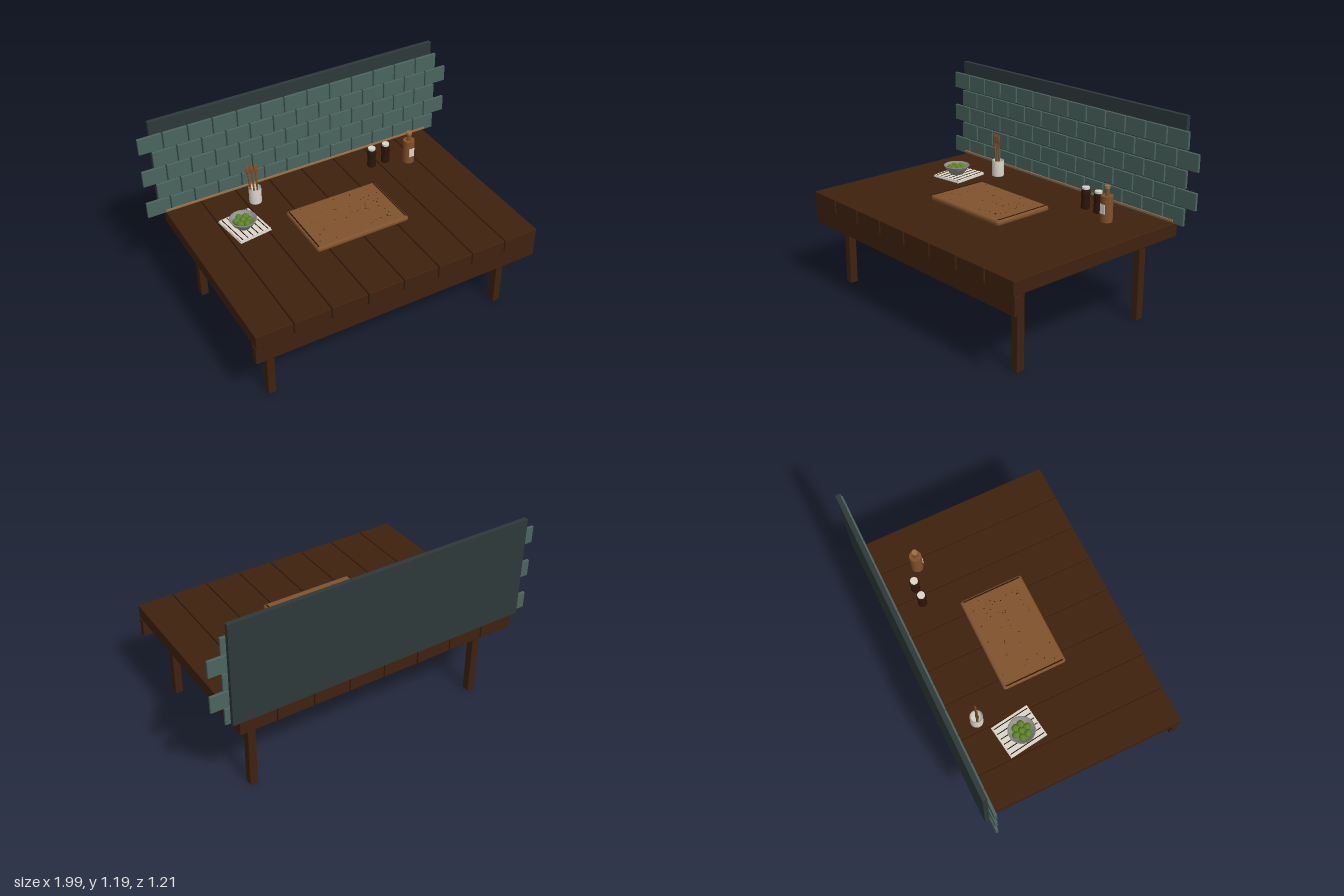
import * as THREE from 'three';
import { RoundedBoxGeometry } from 'three/addons/geometries/RoundedBoxGeometry.js';

const mat = (name, color, side = THREE.FrontSide) => {
  const m = new THREE.MeshStandardMaterial({ color, side });
  m.name = name;
  return m;
};

export function createModel() {
  const root = new THREE.Group();
  root.name = 'kitchenTable';

  const wood = mat('dark table wood', 0x3f210e);
  const boardWood = mat('board wood', 0x80522d);
  const tan = mat('light tan wood', 0xa06f42);
  const bottleBrown = mat('bottle brown', 0x80502a);
  const darkBrown = mat('deep brown', 0x2b1508);
  const tileGreen = mat('tile green', 0x4a645d);
  const slate = mat('slate panel', 0x2e393a);
  const white = mat('ceramic white', 0xd9d6ca, THREE.DoubleSide);
  const grey = mat('bowl grey', 0x8f8f8b, THREE.DoubleSide);
  const lime = mat('lime green', 0x5d8426);

  const add = (parent, name, geo, material, x, y, z) => {
    const mesh = new THREE.Mesh(geo, material);
    mesh.name = name;
    mesh.position.set(x, y, z);
    parent.add(mesh);
    return mesh;
  };
  const group = (name, x = 0, y = 0, z = 0) => {
    const g = new THREE.Group();
    g.name = name;
    g.position.set(x, y, z);
    root.add(g);
    return g;
  };
  const rbox = (w, h, d, r = 0.005) => new RoundedBoxGeometry(w, h, d, 2, r);
  const lathe = (pts, n = 24) =>
    new THREE.LatheGeometry(pts.map(([r, y]) => new THREE.Vector2(r, y)), n);
  const cyl = (r, h, n = 20, r2 = r) => new THREE.CylinderGeometry(r, r2, h, n);

  // Table: eight planks, front apron, four legs
  const table = group('table');
  const pitch = 1.75 / 8;
  for (let i = 0; i < 8; i++) {
    add(table, 'plank', rbox(pitch - 0.006, 0.083, 1.21), wood, -0.895 + pitch * (i + 0.5), 0.5415, 0);
  }
  add(table, 'frontApron', rbox(1.75, 0.11, 0.045), wood, -0.02, 0.447, 0.578);
  for (const x of [-0.763, 0.723]) {
    for (const z of [-0.454, 0.456]) {
      add(table, 'leg', rbox(0.046, 0.5, 0.05, 0.004), wood, x, 0.252, z);
    }
  }

  // Backsplash: panel, staggered tiles and a slim trim
  const splash = group('backsplash');
  add(splash, 'panel', new THREE.BoxGeometry(1.815, 0.608, 0.026), slate, -0.018, 0.886, -0.595);
  const tileGeo = rbox(0.141, 0.1, 0.016, 0.003);
  for (let row = 0; row < 5; row++) {
    for (let i = 0; i < 13; i++) {
      const x = -0.93 + i * 0.1482 + (row % 2) * 0.0745;
      add(splash, 'tile', tileGeo, tileGreen, x, 0.632 + row * 0.1073, -0.575);
    }
  }
  add(splash, 'trim', new THREE.BoxGeometry(1.75, 0.01, 0.008), tan, -0.02, 0.6, -0.559);

  // Cutting board with end grooves and grain flecks
  const board = group('cuttingBoard', -0.022, 0.6, -0.005);
  add(board, 'slab', rbox(0.583, 0.034, 0.387, 0.015), boardWood, 0, 0, 0);
  for (const x of [-0.278, 0.276]) {
    add(board, 'groove', new THREE.BoxGeometry(0.007, 0.004, 0.355), darkBrown, x, 0.0165, 0);
  }
  let seed = 7;
  const rand = () => (seed = (seed * 16807) % 2147483647) / 2147483647;
  const fleckGeo = new THREE.CylinderGeometry(0.0035, 0.0035, 0.002, 6);
  for (let i = 0; i < 40; i++) {
    const fleck = add(board, 'fleck', fleckGeo, darkBrown,
      (rand() - 0.5) * 0.5, 0.0168, (rand() - 0.5) * 0.33);
    fleck.scale.set(0.6 + rand() * 0.5, 1, 0.6 + rand() * 0.7);
  }

  // Folded striped cloth
  const cloth = group('cloth', -0.557, 0.583, -0.227);
  cloth.rotation.y = 0.135;
  add(cloth, 'lowerFold', new THREE.BoxGeometry(0.203, 0.006, 0.237), white, 0, 0.003, 0);
  add(cloth, 'upperFold', new THREE.BoxGeometry(0.199, 0.006, 0.232), white, 0, 0.011, 0);
  for (let i = 0; i < 6; i++) {
    add(cloth, 'stripe', new THREE.BoxGeometry(0.005, 0.002, 0.22), darkBrown, -0.083 + i * 0.0332, 0.0145, 0);
  }

  // Bowl of limes
  const bowl = group('fruitBowl', -0.569, 0.598, -0.218);
  add(bowl, 'bowlShell', lathe([
    [0, 0], [0.042, 0], [0.042, 0.007], [0.06, 0.022], [0.078, 0.05], [0.078, 0.055],
    [0.072, 0.055], [0.055, 0.028], [0.035, 0.015], [0, 0.014],
  ]), grey, 0, 0, 0);
  const limeGeo = new THREE.SphereGeometry(0.02, 14, 10);
  for (let i = 0; i < 6; i++) {
    const a = i * Math.PI / 3 + 0.3;
    const fruit = add(bowl, 'lime', limeGeo, lime, 0.038 * Math.cos(a), 0.037, 0.038 * Math.sin(a));
    fruit.scale.x = 1.12;
    fruit.rotation.y = a;
  }
  add(bowl, 'topLime', limeGeo, lime, 0, 0.04, 0);

  // Utensil crock with three wooden spoons
  const crock = group('utensilCrock', -0.402, 0.583, -0.41);
  add(crock, 'crockBody', lathe([
    [0, 0], [0.035, 0], [0.037, 0.004], [0.037, 0.1], [0.032, 0.1], [0.032, 0.012], [0, 0.012],
  ]), white, 0, 0, 0);
  for (let i = -1; i <= 1; i++) {
    const spoon = new THREE.Group();
    spoon.name = 'spoon';
    spoon.position.set(i * 0.017 - 0.002, 0.015, 0.004 * i);
    spoon.rotation.z = 0.05 - i * 0.03;
    add(spoon, 'handle', cyl(0.005, 0.2, 10), bottleBrown, 0, 0.1, 0);
    const head = add(spoon, 'spoonHead', new THREE.SphereGeometry(1, 14, 10), bottleBrown, 0, 0.215, 0);
    head.scale.set(0.012, 0.033, 0.006);
    crock.add(spoon);
  }

  // Pair of mills with pale caps
  for (const x of [0.366, 0.463]) {
    const mill = group('mill', x, 0.583, -0.388);
    add(mill, 'millBody', lathe([
      [0, 0], [0.025, 0], [0.027, 0.005], [0.025, 0.045], [0.024, 0.06], [0.027, 0.075],
      [0.028, 0.095], [0.024, 0.112], [0.02, 0.118], [0, 0.118],
    ]), darkBrown, 0, 0, 0);
    add(mill, 'millCap', cyl(0.022, 0.014), white, 0, 0.121, 0);
  }

  // Oil bottle with stopper and label
  const bottle = group('oilBottle', 0.587, 0.583, -0.322);
  add(bottle, 'bottleBody', cyl(0.035, 0.15, 24), bottleBrown, 0, 0.075, 0);
  add(bottle, 'neck', cyl(0.0135, 0.045), bottleBrown, 0, 0.17, 0);
  add(bottle, 'stopper', cyl(0.016, 0.016), tan, 0, 0.198, 0);
  add(bottle, 'label', new THREE.BoxGeometry(0.034, 0.055, 0.004), white, 0, 0.077, 0.0345);

  return root;
}
